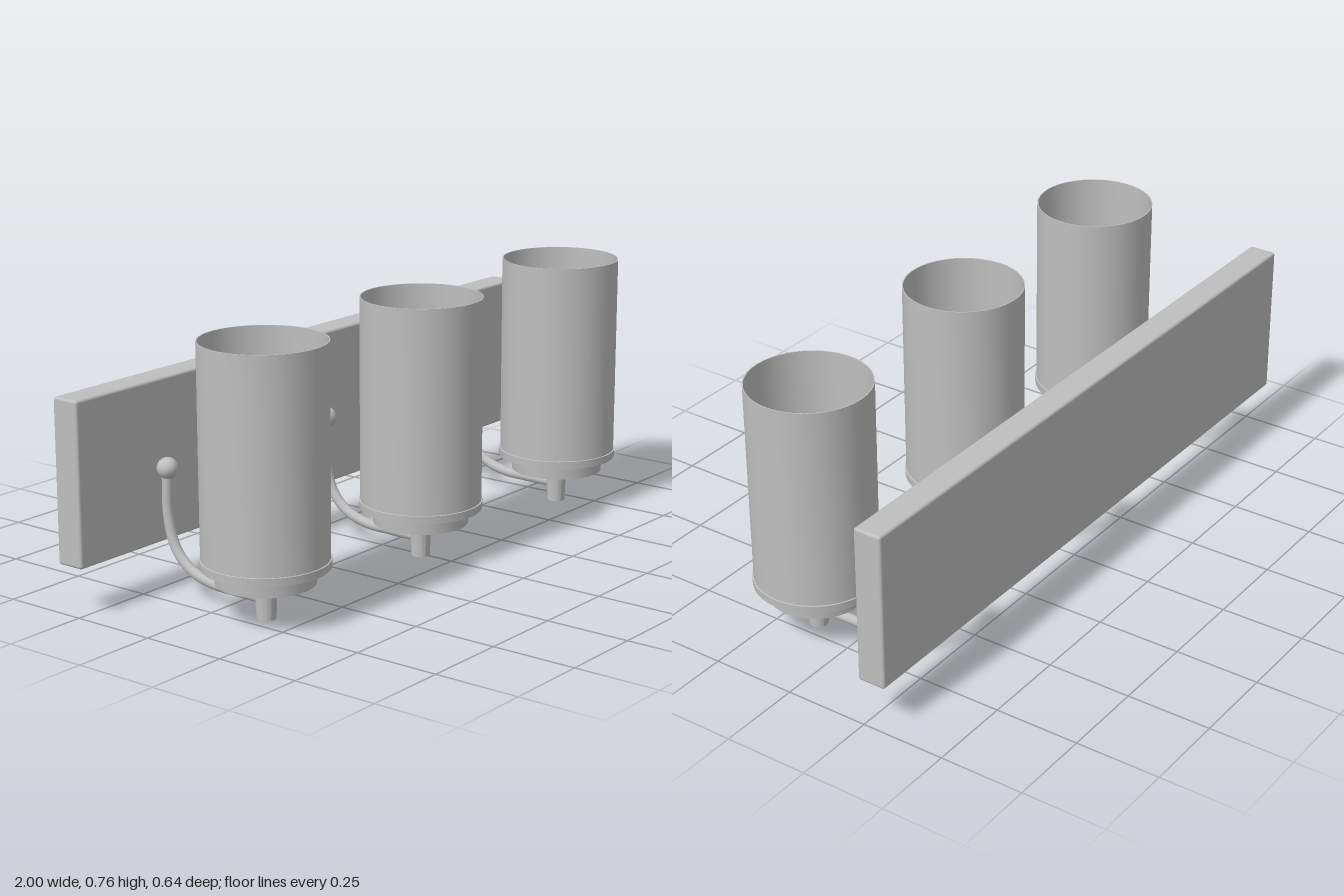
import * as THREE from 'three';
import { toCreasedNormals } from 'three/addons/utils/BufferGeometryUtils.js';
import { RoundedBoxGeometry } from 'three/addons/geometries/RoundedBoxGeometry.js';

const LAMP_Z = 0.143;

export function createModel() {
  const model = new THREE.Group();
  model.name = 'wallLight';
  const metal = new THREE.MeshStandardMaterial({ color: 0xbfbfbf, side: THREE.DoubleSide });
  metal.name = 'grey metal';

  const add = (parent, name, geometry, x = 0, y = 0, z = 0) => {
    const mesh = new THREE.Mesh(geometry, metal);
    mesh.name = name;
    mesh.position.set(x, y, z);
    parent.add(mesh);
  };
  const lathe = (points) => toCreasedNormals(
    new THREE.LatheGeometry(points.map(([r, y]) => new THREE.Vector2(r, y)), 40), 0.5);

  // Wall plate with softened edges
  add(model, 'wallPlate', new RoundedBoxGeometry(2, 0.463, 0.085, 2, 0.008), 0, 0.3685, -0.2775);

  // Shared lamp parts
  const stem = lathe([[0, 0], [0.027, 0], [0.031, 0.1]]);
  const cup = lathe([[0, 0.093], [0.03, 0.093], [0.137, 0.102], [0.139, 0.137],
    [0.177, 0.146], [0.178, 0.169], [0.171, 0.17], [0.166, 0.158], [0, 0.15]]);
  const shade = lathe([[0.174, 0.16], [0.175, 0.762], [0.172, 0.762], [0.171, 0.16]]);
  const socket = new THREE.CylinderGeometry(0.055, 0.055, 0.11, 24);
  const bulb = new THREE.SphereGeometry(0.085, 28, 18);
  const knob = new THREE.SphereGeometry(0.03, 24, 16);

  // Arm sweeps back from the stem and up to the knob
  const armPath = new THREE.CatmullRomCurve3([
    [0.053, 0.12], [0.054, 0.03], [0.057, -0.05], [0.08, -0.125],
    [0.13, -0.178], [0.21, -0.204], [0.34, -0.207],
  ].map(([y, z]) => new THREE.Vector3(0, y, z)));
  const arm = new THREE.TubeGeometry(armPath, 36, 0.015, 12);

  for (const x of [-0.69, -0.005, 0.695]) {
    const lamp = new THREE.Group();
    lamp.name = 'lamp';
    lamp.position.x = x;
    add(lamp, 'stem', stem, 0, 0, LAMP_Z);
    add(lamp, 'cup', cup, 0, 0, LAMP_Z);
    add(lamp, 'shade', shade, 0, 0, LAMP_Z);
    add(lamp, 'socket', socket, 0, 0.2, LAMP_Z);
    add(lamp, 'bulb', bulb, 0, 0.31, LAMP_Z);
    add(lamp, 'arm', arm);
    add(lamp, 'knob', knob, 0, 0.355, -0.204);
    model.add(lamp);
  }
  return model;
}
